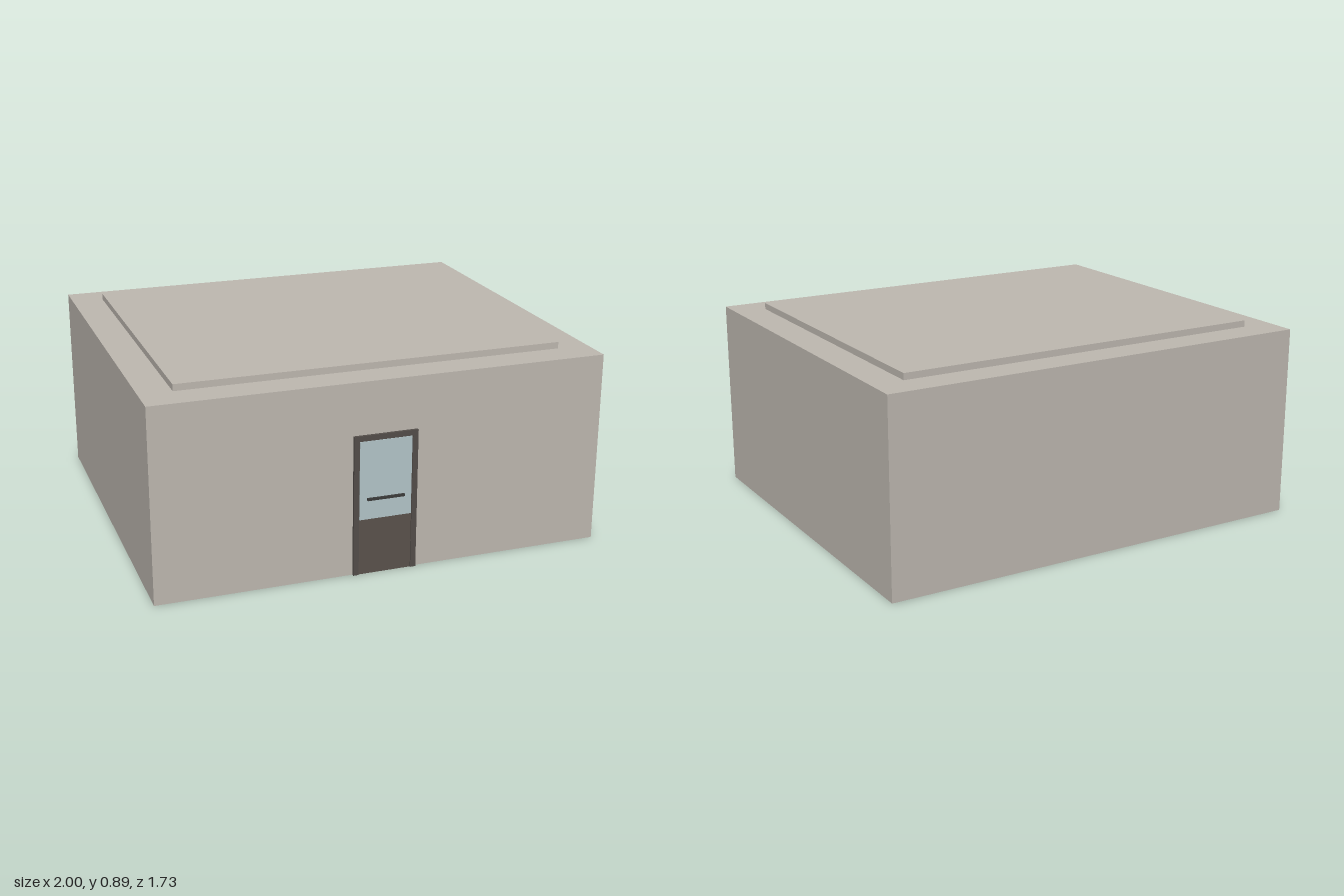
import * as THREE from 'three';

const material = (name, color) => {
  const m = new THREE.MeshStandardMaterial({ color });
  m.name = name;
  return m;
};

export function createModel() {
  const model = new THREE.Group();
  model.name = 'smallBuilding';
  const plaster = material('warm grey plaster', 0xbfb9b1);
  const floorBrown = material('floor brown', 0x938473);
  const frameBrown = material('door frame brown', 0x544e4a);
  const doorBrown = material('door brown', 0x5b534d);
  const glassBlue = material('pale blue glass', 0xb4c6ca);
  const handleDark = material('dark handle', 0x3b3b3a);

  const add = (parent, name, geometry, mat) => {
    const mesh = new THREE.Mesh(geometry, mat);
    mesh.name = name;
    parent.add(mesh);
    return mesh;
  };
  // Box given by its limits on each axis
  const box = (parent, name, mat, [x0, x1], [y0, y1], [z0, z1]) => {
    const mesh = add(parent, name, new THREE.BoxGeometry(x1 - x0, y1 - y0, z1 - z0), mat);
    mesh.position.set((x0 + x1) / 2, (y0 + y1) / 2, (z0 + z1) / 2);
    return mesh;
  };

  const wallTop = 0.859, front = 0.848, back = -0.867, thick = 0.143;
  const inX = 1 - thick, inFront = front - thick, inBack = back + thick;
  const doorHalf = 0.142, doorTop = 0.628;

  // Front wall with a doorway cut up from the ground
  const outline = new THREE.Shape([
    [-1, 0], [-doorHalf, 0], [-doorHalf, doorTop], [doorHalf, doorTop],
    [doorHalf, 0], [1, 0], [1, wallTop], [-1, wallTop],
  ].map(([x, y]) => new THREE.Vector2(x, y)));
  const frontWall = add(model, 'frontWall',
    new THREE.ExtrudeGeometry(outline, { depth: thick, bevelEnabled: false }), plaster);
  frontWall.position.z = inFront;

  // Remaining walls
  box(model, 'backWall', plaster, [-1, 1], [0, wallTop], [back, inBack]);
  box(model, 'leftWall', plaster, [inX, 1], [0, wallTop], [inBack, inFront]);
  box(model, 'rightWall', plaster, [-1, -inX], [0, wallTop], [inBack, inFront]);

  // Floor and raised roof fill the space between the walls
  box(model, 'floor', floorBrown, [-inX, inX], [0, 0.028], [inBack, inFront]);
  box(model, 'roofSlab', plaster, [-inX, inX], [wallTop - 0.001, 0.888], [inBack, inFront]);

  // Door: leaf, surrounding frame, window and push bar
  const door = new THREE.Group();
  door.name = 'door';
  model.add(door);
  const rail = 0.024, proud = [front - 0.004, front + 0.012];
  box(door, 'doorLeaf', doorBrown, [-doorHalf + rail, doorHalf - rail],
    [0, doorTop - rail], [front - 0.004, front + 0.007]);
  for (const side of [-1, 1]) {
    const post = box(door, side > 0 ? 'leftFramePost' : 'rightFramePost', frameBrown,
      [doorHalf - rail, doorHalf], [0, doorTop], proud);
    post.position.x *= side;
  }
  box(door, 'frameHead', frameBrown, [-doorHalf + rail, doorHalf - rail],
    [doorTop - rail, doorTop], proud);
  box(door, 'doorWindow', glassBlue, [-0.116, 0.116], [0.252, 0.602],
    [front + 0.006, front + 0.01]);
  box(door, 'pushBar', handleDark, [-0.083, 0.083], [0.338, 0.349],
    [front + 0.009, front + 0.019]);

  return model;
}
